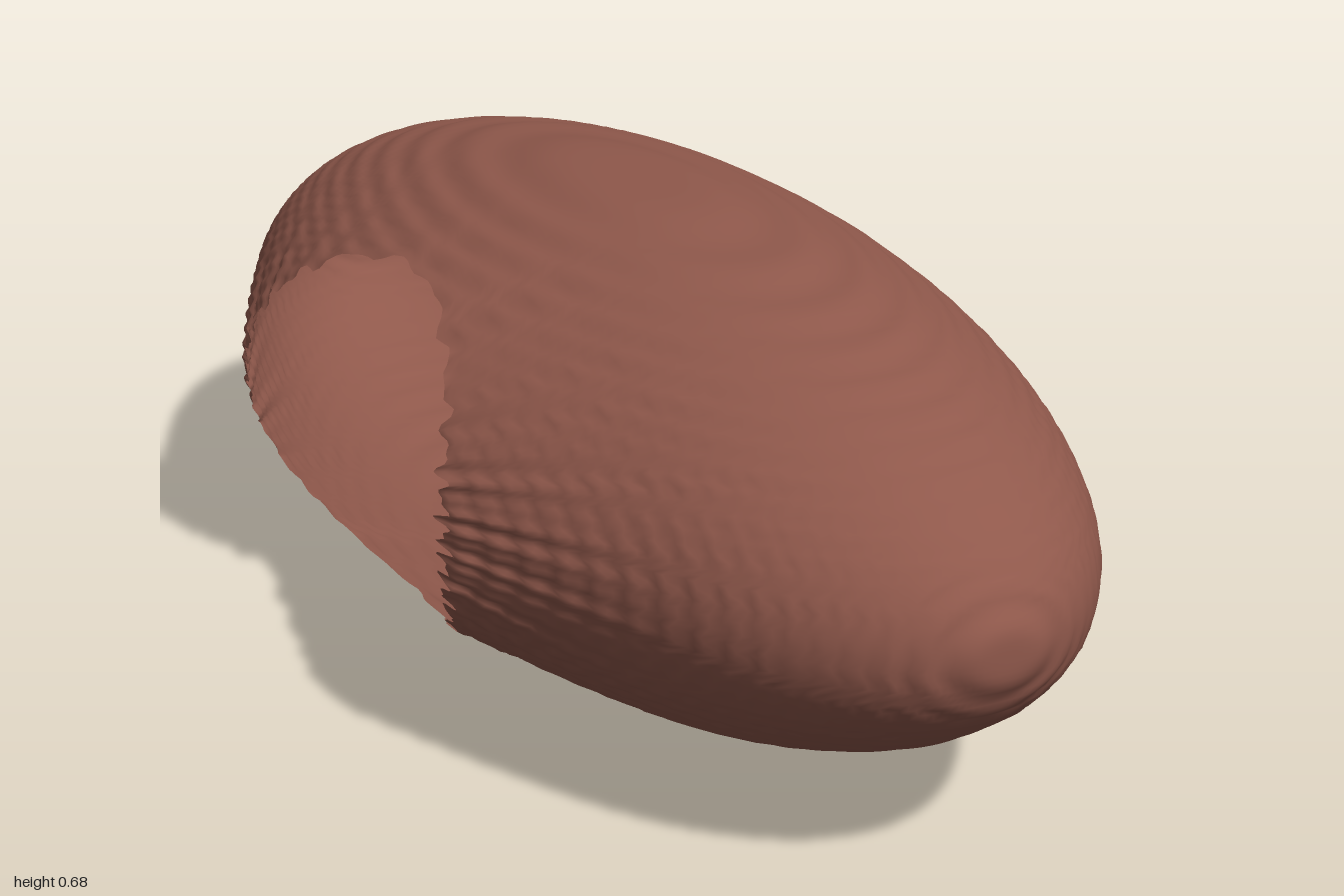
import * as THREE from 'three';
import { mergeVertices } from 'three/addons/utils/BufferGeometryUtils.js';

const RADII = new THREE.Vector3(0.452, 0.341, 1); // half sizes of the shell
const STEP = 0.341 / 15;                          // height of the terraces
const OPEN_Z = 0.37, OPEN_Y = 0.73;               // opening half sizes on the unit sphere
const SWEEP = 3;                                  // polar range of the grid, open at -x

// Pulls a coordinate toward evenly spaced levels, giving a worn, stepped skin
const terrace = (v, weight) =>
  v - weight * 0.9 * STEP / (2 * Math.PI) * Math.sin(2 * Math.PI * v / STEP);

// Polar angle at which the shell ends, with a ragged edge
function rimAngle(theta) {
  const r = 1 / Math.hypot(Math.cos(theta) / OPEN_Y, Math.sin(theta) / OPEN_Z);
  const ragged = 0.014 * Math.sin(29 * theta) + 0.012 * Math.sin(47 * theta + 1);
  return Math.PI - Math.asin(r) + ragged;
}

function shellGeometry() {
  let geo = new THREE.SphereGeometry(1, 220, 130, 0, Math.PI * 2, 0, SWEEP);
  geo.rotateZ(-Math.PI / 2); // poles on the x axis
  const pos = geo.attributes.position;
  const p = new THREE.Vector3(), n = new THREE.Vector3();
  for (let i = 0; i < pos.count; i++) {
    p.fromBufferAttribute(pos, i);
    const theta = Math.atan2(p.z, p.y);
    const t = Math.acos(THREE.MathUtils.clamp(p.x, -1, 1)) / SWEEP;
    const rim = rimAngle(theta), phi = t * rim;
    p.set(Math.cos(phi), Math.sin(phi) * Math.cos(theta), Math.sin(phi) * Math.sin(theta));
    n.copy(p).divide(RADII).normalize();
    p.multiply(RADII);
    // Lip flares outward next to the opening
    const f = Math.max(0, 1 - (rim - phi) / 0.45);
    p.x -= (0.03 + 0.012 * Math.abs(Math.sin(theta))) * f * f;
    p.set(terrace(p.x, n.x ** 2), terrace(p.y, n.y ** 2), terrace(p.z, n.z ** 2));
    pos.setXYZ(i, p.x, p.y + RADII.y, p.z);
  }
  // Weld the seam so the normals stay smooth
  geo.deleteAttribute('uv');
  geo.deleteAttribute('normal');
  geo = mergeVertices(geo, 1e-5);
  geo.computeVertexNormals();
  return geo;
}

export function createModel() {
  const group = new THREE.Group();
  group.name = 'hollowPod';
  const material = new THREE.MeshStandardMaterial({ color: 0x8f584b, side: THREE.DoubleSide });
  const shell = new THREE.Mesh(shellGeometry(), material);
  shell.name = 'shell';
  group.add(shell);
  return group;
}
